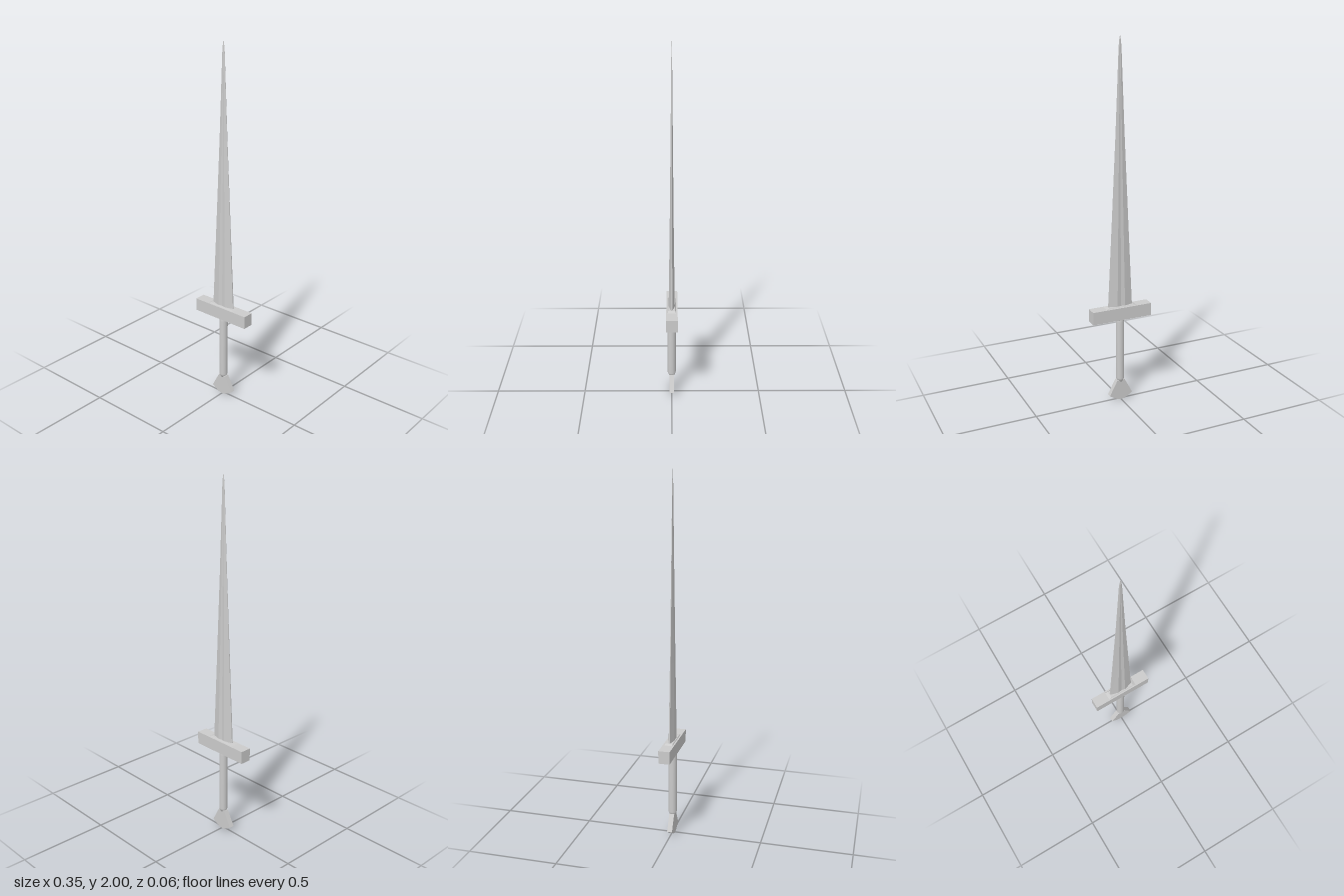
import * as THREE from 'three';

const material = new THREE.MeshStandardMaterial({ color: 0xcccccc, flatShading: true });
const smooth = new THREE.MeshStandardMaterial({ color: 0xcccccc });

function part(name, geometry, mat = material) {
  const mesh = new THREE.Mesh(geometry, mat);
  mesh.name = name;
  return mesh;
}

// Skin a stack of equal-length rings (anticlockwise seen from above, bottom to top) and cap both ends.
function loft(rings) {
  const n = rings[0].length;
  const index = [];
  const points = rings.flat();
  for (let r = 0; r < rings.length - 1; r++) {
    for (let i = 0; i < n; i++) {
      const a = r * n + i, b = r * n + (i + 1) % n;
      index.push(a, b, b + n, a, b + n, a + n);
    }
  }
  for (const r of [0, rings.length - 1]) {
    const ring = rings[r];
    const centre = points.length;
    points.push([0, ring[0][1], 0]);
    for (let i = 0; i < n; i++) {
      const a = r * n + i, b = r * n + (i + 1) % n;
      if (r === 0) index.push(centre, b, a);
      else index.push(centre, a, b);
    }
  }
  const g = new THREE.BufferGeometry();
  g.setAttribute('position', new THREE.Float32BufferAttribute(points.flat(), 3));
  g.setIndex(index);
  const flat = g.toNonIndexed();
  flat.computeVertexNormals();
  return flat;
}

// Blade section: thin edges, two ridges and a shallow central groove on each face
function bladeRing(y, w, t) {
  const half = [[1, 0.2], [0.32, 1], [0, 0.75], [-0.32, 1], [-1, 0.2]];
  const back = half.map(([x, z]) => [x * w, y, -z * t]);
  const front = half.map(([x, z]) => [x * w, y, z * t]).reverse();
  return [...back, ...front];
}

export function createModel() {
  const sword = new THREE.Group();
  sword.name = 'sword';

  // Tapering blade with a short blunt point
  const blade = [[0.54, 0.071, 0.017], [1.0, 0.049, 0.011], [1.5, 0.0255, 0.006],
    [1.94, 0.008, 0.002], [1.975, 0.005, 0.0014], [2, 0.0005, 0.0004]];
  sword.add(part('blade', loft(blade.map((row) => bladeRing(...row)))));

  // Crossguard bar
  const guard = part('crossguard', new THREE.BoxGeometry(0.347, 0.071, 0.062));
  guard.position.set(-0.001, 0.52, -0.001);
  sword.add(guard);

  // Low raised seat where the blade enters the guard
  const seat = [[0.55, 0.105, 0.026], [0.561, 0.073, 0.019]];
  sword.add(part('bladeSeat', loft(seat.map(([y, x, z]) =>
    [[x, y, z], [x, y, -z], [-x, y, -z], [-x, y, z]]))));

  // Round grip with softened ends
  const profile = [[0, 0.108], [0.015, 0.108], [0.0235, 0.13], [0.0235, 0.466],
    [0.02, 0.478], [0.02, 0.49]].map(([r, y]) => new THREE.Vector2(r, y));
  sword.add(part('grip', new THREE.LatheGeometry(profile, 14), smooth));

  // Collar under the guard
  const collar = part('collar', new THREE.CylinderGeometry(0.03, 0.024, 0.013, 14));
  collar.position.y = 0.48;
  collar.scale.z = 0.75;
  sword.add(collar);

  // Flat fan-shaped pommel
  const fan = new THREE.Shape([[0.022, 0.118], [-0.022, 0.118], [-0.068, 0.031],
    [-0.035, 0.009], [-0.014, 0.001], [0, 0], [0.014, 0.001], [0.035, 0.009], [0.068, 0.031]]
    .map(([x, y]) => new THREE.Vector2(x, y)));
  const pommel = new THREE.ExtrudeGeometry(fan, { depth: 0.028, bevelEnabled: false });
  pommel.translate(0, 0, -0.014);
  sword.add(part('pommel', pommel));

  return sword;
}
